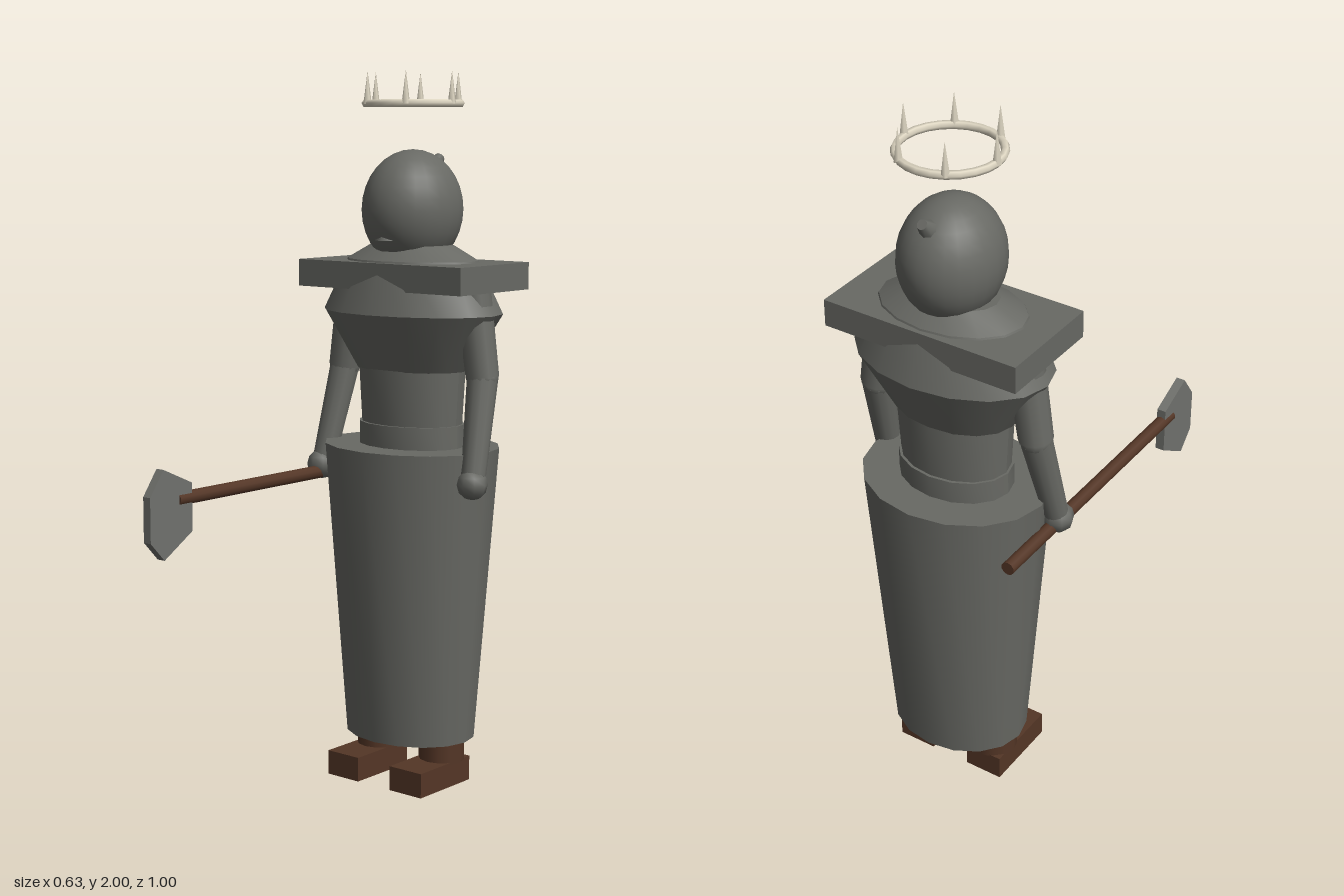
import * as THREE from 'three';
import { toCreasedNormals } from 'three/addons/utils/BufferGeometryUtils.js';

const mat = (name, color) => new THREE.MeshStandardMaterial({ name, color });
const V = (x, y, z) => new THREE.Vector3(x, y, z);

export function createModel() {
  const group = new THREE.Group();
  const stone = mat('stone grey', 0x686964);
  const steel = mat('steel grey', 0x70716d);
  const leather = mat('leather brown', 0x543626);
  const bone = mat('bone white', 0xded6c2);
  const Z = -0.28; // body axis

  const add = (name, geo, material, x = 0, y = 0, z = Z) => {
    const mesh = new THREE.Mesh(geo, material);
    mesh.name = name;
    mesh.position.set(x, y, z);
    group.add(mesh);
    return mesh;
  };

  // closed, oval turned solid from [radius, height] pairs, bottom to top
  const turned = (name, profile, depth) => {
    const pts = profile.map(([r, y]) => new THREE.Vector2(r, y));
    const geo = new THREE.LatheGeometry(pts, 16).scale(1, 1, depth);
    return add(name, toCreasedNormals(geo, 0.5), stone);
  };

  // tapered limb between two points
  const limb = (name, a, b, ra, rb, material, sides = 12) => {
    const mesh = add(name, new THREE.CylinderGeometry(rb, ra, a.distanceTo(b), sides), material);
    mesh.position.copy(a).lerp(b, 0.5);
    mesh.quaternion.setFromUnitVectors(V(0, 1, 0), b.clone().sub(a).normalize());
    return mesh;
  };

  // robe and torso
  turned('skirt', [[0, 0.128], [0.197, 0.128], [0.265, 0.965], [0, 0.965]], 0.825);
  turned('belt', [[0, 0.95], [0.163, 0.95], [0.163, 1.028], [0, 1.028]], 0.76);
  turned('waist', [[0, 1.0], [0.155, 1.0], [0.167, 1.2], [0, 1.2]], 0.74);
  turned('chest', [[0, 1.18], [0.176, 1.18], [0.281, 1.34], [0.205, 1.485], [0.13, 1.525], [0, 1.525]], 0.69);
  add('shoulderYoke', new THREE.BoxGeometry(0.572, 0.075, 0.31), stone, 0, 1.4425);

  // head with snout and back horn
  const head = add('head', new THREE.SphereGeometry(1, 24, 16), stone, 0, 1.622);
  head.scale.set(0.135, 0.165, 0.151);
  add('nose', new THREE.ConeGeometry(0.044, 0.1, 8), stone, 0, 1.59, -0.184);
  limb('headKnob', V(0, 1.72, -0.355), V(0, 1.765, -0.402), 0.034, 0.014, stone, 8);

  // floating crown
  add('crownRing', new THREE.TorusGeometry(0.132, 0.011, 6, 24).rotateX(Math.PI / 2), bone, 0, 1.912);
  for (let i = 0; i < 6; i++) {
    const a = (i * Math.PI) / 3;
    add('crownSpike', new THREE.ConeGeometry(0.012, 0.09, 5), bone,
      0.134 * Math.cos(a), 1.955, Z + 0.134 * Math.sin(a));
  }

  for (const [side, s] of [['left', 1], ['right', -1]]) {
    // arms
    const shoulder = V(0.212 * s, 1.4, Z), elbow = V(0.247 * s, 1.17, Z), wrist = V(0.268 * s, 0.91, -0.215);
    add(side + 'Shoulder', new THREE.SphereGeometry(0.05, 12, 8), stone).position.copy(shoulder);
    limb(side + 'UpperArm', shoulder, elbow, 0.05, 0.046, stone);
    add(side + 'Elbow', new THREE.SphereGeometry(0.044, 12, 8), stone).position.copy(elbow);
    limb(side + 'Forearm', elbow, wrist, 0.043, 0.034, stone);
    add(side + 'Hand', new THREE.SphereGeometry(0.043, 8, 6), stone, 0.271 * s, 0.887, -0.206);

    // legs and boots
    add(side + 'Leg', new THREE.CylinderGeometry(0.065, 0.065, 0.14, 12), leather, 0.114 * s, 0.135);
    add(side + 'Boot', new THREE.BoxGeometry(0.112, 0.07, 0.223), leather, 0.114 * s, 0.035, -0.2275);
  }

  // spade held in the right hand
  limb('spadeShaft', V(-0.266, 0.866, -0.44), V(-0.266, 0.866, 0.392), 0.019, 0.019, leather, 10);
  const outline = [[0.5, 0.886], [0.45, 0.955], [0.344, 0.907], [0.344, 0.775], [0.45, 0.71], [0.5, 0.763]];
  const blade = new THREE.Shape(outline.map(([z, y]) => new THREE.Vector2(-z, y)));
  const bladeGeo = new THREE.ExtrudeGeometry(blade, { depth: 0.026, bevelEnabled: false });
  add('spadeBlade', bladeGeo.rotateY(Math.PI / 2), steel, -0.279, 0, 0);

  return group;
}
